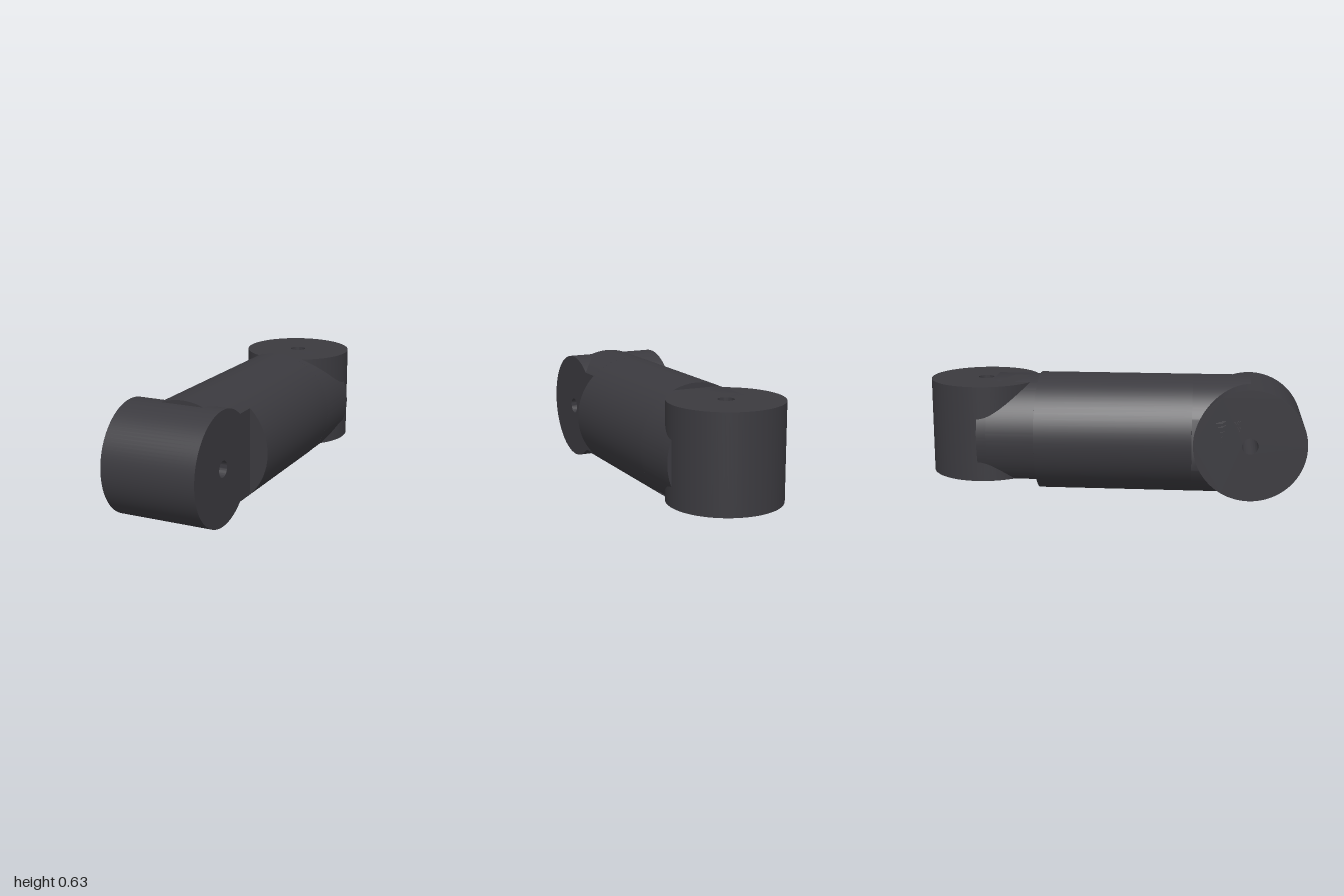
import * as THREE from 'three';
import { toCreasedNormals } from 'three/addons/utils/BufferGeometryUtils.js';

const R = 0.315;          // shaft radius
const BARREL_R = 0.293;   // knuckle radius
const HOLE_R = 0.042;     // pin hole radius
const PIVOT = 0.71;       // pin distance from the middle
const STEP = 0.41;        // where the shaft is cut flat
const X0 = -0.286, X1 = 0.218; // flat faces of a knuckle

const material = new THREE.MeshStandardMaterial({ color: 0x3b3a3f });

function extrude(shape, depth, curveSegments) {
  const geometry = new THREE.ExtrudeGeometry(shape, { depth, curveSegments, bevelEnabled: false });
  return toCreasedNormals(geometry, 0.5);
}

function part(name, geometry) {
  const mesh = new THREE.Mesh(geometry, material);
  mesh.name = name;
  return mesh;
}

// Solid between z0 and z1 with the given cross-section
function alongZ(name, shape, z0, z1) {
  return part(name, extrude(shape, z1 - z0, 32).translate(0, 0, z0));
}

// Pin knuckle with its flat-sided neck, pin axis along x
function createKnuckle(name) {
  const group = new THREE.Group();
  group.name = name;

  // Round barrel with the through hole
  const disc = new THREE.Shape().absarc(0, 0, BARREL_R, 0, Math.PI * 2);
  disc.holes.push(new THREE.Path().absarc(0, 0, HOLE_R, 0, Math.PI * 2, true));
  const barrel = extrude(disc, X1 - X0, 48).rotateY(Math.PI / 2).translate(X0, 0, PIVOT);
  group.add(part('barrel', barrel));

  // Neck: the shaft section trimmed by the two flats, stopping short of the hole
  const a1 = Math.acos(X1 / R), a2 = Math.acos(X0 / R), full = Math.PI * 2;
  const neck = new THREE.Shape()
    .absarc(0, 0, R, a1, a2)
    .absarc(0, 0, R, full - a2, full - a1);
  neck.closePath();
  group.add(alongZ('neck', neck, STEP, PIVOT - 0.05));

  // Upper and lower shaft crests that run on to the pin line
  const a3 = Math.PI - Math.asin(0.2 / R);
  for (const [from, to] of [[a1, a3], [full - a3, full - a1]]) {
    const crest = new THREE.Shape().absarc(0, 0, R, from, to);
    crest.closePath();
    group.add(alongZ('crest', crest, PIVOT - 0.05, PIVOT));
  }
  return group;
}

export function createModel() {
  const model = new THREE.Group();
  model.name = 'linkArm';

  // Round shaft between the knuckles
  const circle = new THREE.Shape().absarc(0, 0, R, 0, Math.PI * 2);
  model.add(alongZ('shaft', circle, -STEP, STEP));

  // Front pin lies across, rear pin stands upright
  model.add(createKnuckle('frontKnuckle'));
  const rear = createKnuckle('rearKnuckle');
  rear.rotation.set(0, Math.PI, -Math.PI / 2);
  model.add(rear);

  // Stand the arm on the ground
  for (const child of model.children) child.position.y = R;
  return model;
}
